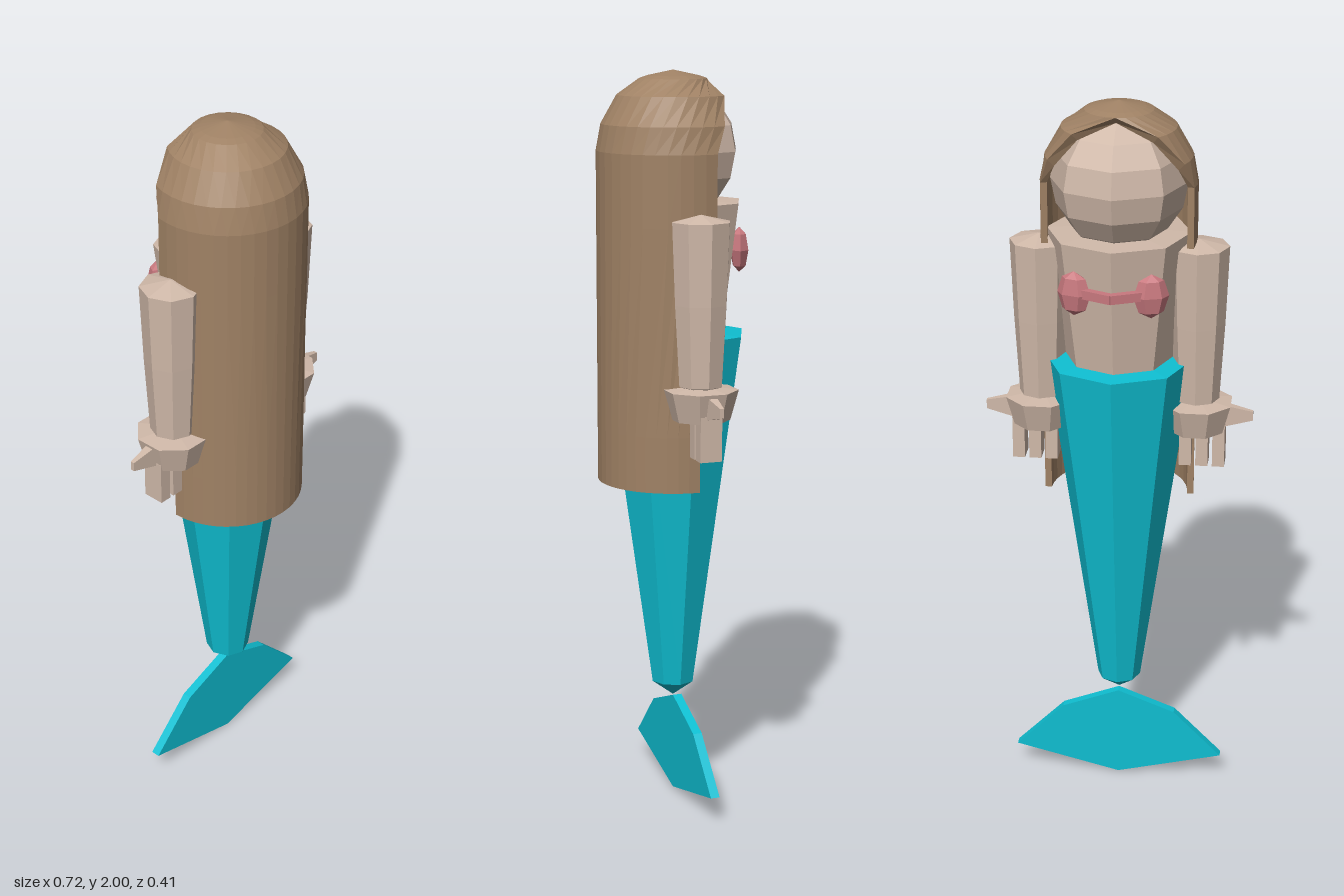
import * as THREE from 'three';

const material = (name, color, extra = {}) => {
  const m = new THREE.MeshStandardMaterial({ color, flatShading: true, ...extra });
  m.name = name;
  return m;
};

function add(parent, name, geometry, mat, x = 0, y = 0, z = 0) {
  const mesh = new THREE.Mesh(geometry, mat);
  mesh.name = name;
  mesh.position.set(x, y, z);
  parent.add(mesh);
  return mesh;
}

// Solid of revolution from [radius, height] pairs, bottom to top
const turned = (points, sides = 8) =>
  new THREE.LatheGeometry(points.map(([r, y]) => new THREE.Vector2(r, y)), sides);

// Thick shell of hair, each ring opening towards the face by its own angle
function hairGeometry() {
  const thickness = 0.018, segments = 22;
  // radius, height, half opening in degrees
  const outer = [
    [0.205, 0.9, 90], [0.205, 1.05, 90], [0.205, 1.6, 76], [0.205, 1.79, 76],
    [0.192, 1.86, 66], [0.15, 1.935, 47], [0.09, 1.978, 0], [0.07, 1.985, 0], [0, 2, 0],
  ];
  const inner = outer.map(([r, y, o]) =>
    [Math.max(0, r - thickness), y > 1.79 ? y - thickness : y, o]);
  const loop = [...outer, ...inner.slice().reverse()];
  const point = ([r, y, open], j) => {
    const half = Math.PI - THREE.MathUtils.degToRad(open);
    const a = half * (2 * j / segments - 1);
    return [r * Math.sin(a), y, r * Math.cos(a)];
  };
  const positions = [];
  const quad = (a, b, c, d) => positions.push(...a, ...b, ...c, ...a, ...c, ...d);
  loop.forEach((p, k) => {
    const q = loop[(k + 1) % loop.length];
    for (let j = 0; j < segments; j++) {
      quad(point(p, j), point(p, j + 1), point(q, j + 1), point(q, j));
    }
  });
  // Close the two front edges
  for (let k = 0; k < 6; k++) {
    const [o, p, i, n] = [outer[k], outer[k + 1], inner[k], inner[k + 1]];
    quad(point(o, segments), point(i, segments), point(n, segments), point(p, segments));
    quad(point(o, 0), point(p, 0), point(n, 0), point(i, 0));
  }
  const g = new THREE.BufferGeometry();
  g.setAttribute('position', new THREE.Float32BufferAttribute(positions, 3));
  g.computeVertexNormals();
  return g;
}

export function createModel() {
  const model = new THREE.Group();
  model.name = 'mermaid';
  const skin = material('skin', 0xd0b9a9);
  const brown = material('hair brown', 0xa08265, { side: THREE.DoubleSide });
  const teal = material('tail turquoise', 0x0fbfd2);
  const pink = material('shell pink', 0xc9797f);

  // Head and torso
  add(model, 'head', new THREE.SphereGeometry(0.18, 8, 8), skin, 0, 1.79, 0);
  add(model, 'torso', turned([[0, 1.25], [0.137, 1.25], [0.19, 1.655], [0, 1.665]]), skin);
  add(model, 'hair', hairGeometry(), brown);

  // Tail and fin
  add(model, 'tail', turned([[0, 0.275], [0.06, 0.32], [0.2, 1.3], [0, 1.315]]), teal);
  const fin = new THREE.Shape([
    [0, 0], [0.295, 0.073], [0.16, 0.21], [0, 0.272], [-0.16, 0.21], [-0.295, 0.073],
  ].map(([x, y]) => new THREE.Vector2(x, y)));
  add(model, 'tailFin', new THREE.ExtrudeGeometry(fin, { depth: 0.025, bevelEnabled: false }),
    teal, 0, 0, -0.025);

  for (const side of [-1, 1]) {
    const label = side > 0 ? 'left' : 'right';

    // Arm with hand, thumb and fingers
    const arm = new THREE.Group();
    arm.name = label + 'Arm';
    arm.position.x = side * 0.21;
    model.add(arm);
    add(arm, 'sleevelessArm',
      turned([[0, 1.17], [0.06, 1.19], [0.072, 1.405], [0.08, 1.62], [0, 1.638]]), skin);
    const palm = turned([[0, 1.1], [0.078, 1.1], [0.1, 1.18], [0, 1.192]]);
    palm.rotateY(Math.PI / 8);
    add(arm, 'hand', palm, skin);
    const thumb = new THREE.CylinderGeometry(0.012, 0.032, 0.09, 4);
    thumb.rotateY(Math.PI / 4);
    thumb.scale(1.5, 1, 0.65);
    thumb.rotateZ(-side * Math.PI / 2);
    add(arm, 'thumb', thumb, skin, side * 0.107, 1.143, 0);
    for (const x of [-0.028, 0.017, 0.062]) {
      add(arm, 'finger', new THREE.BoxGeometry(0.033, 0.12, 0.06), skin, side * x, 1.06, 0);
    }

    // Shell top: cup and its half of the joining band
    const cup = new THREE.SphereGeometry(1, 6, 4);
    cup.scale(0.047, 0.06, 0.026);
    add(model, label + 'Shell', cup, pink, side * 0.1, 1.53, -0.151).rotation.y = -side * 0.3;
    const band = new THREE.BoxGeometry(0.085, 0.024, 0.02);
    add(model, label + 'ShellBand', band, pink, side * 0.036, 1.535, -0.181).rotation.y = -side * 0.42;
  }
  return model;
}
